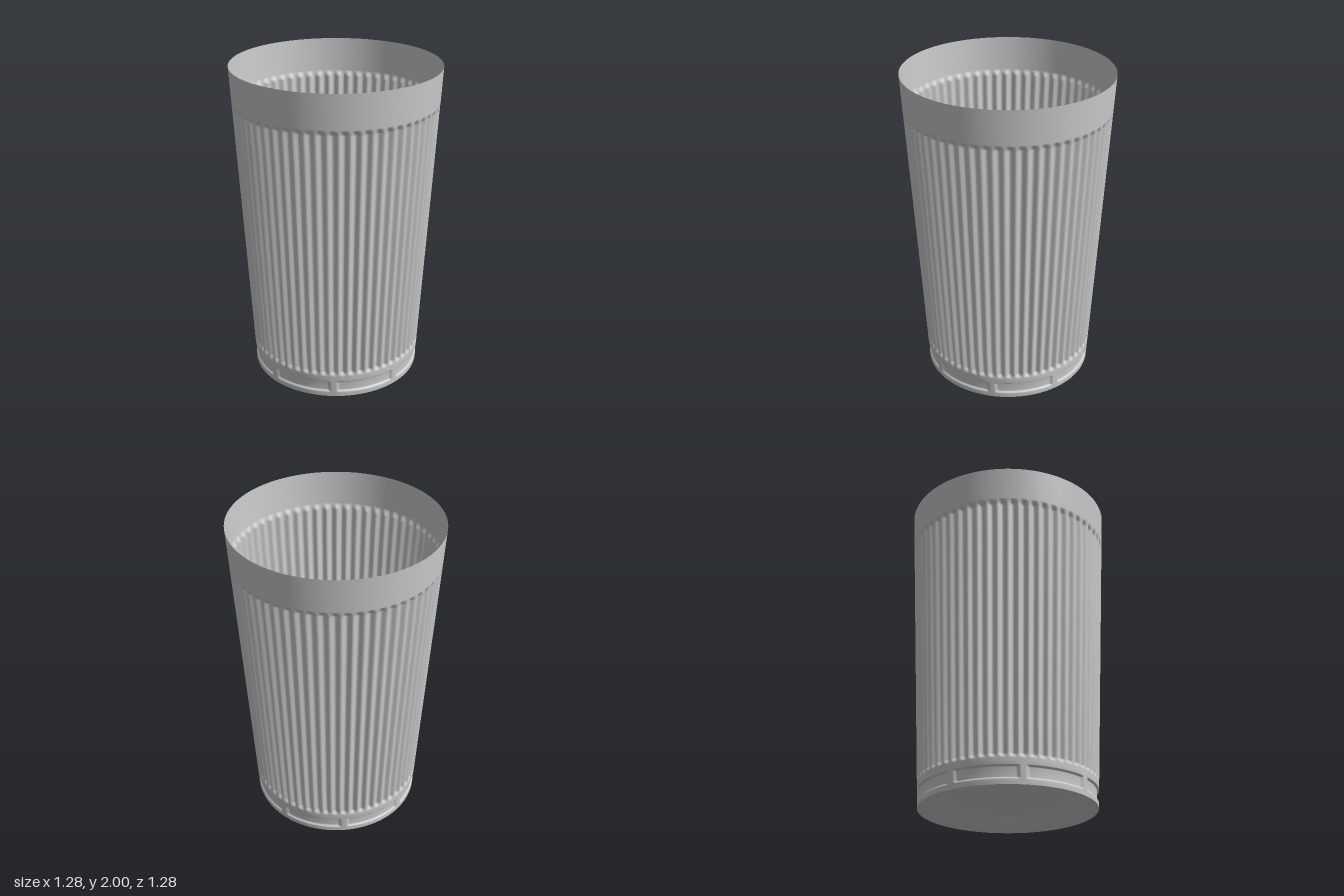
import * as THREE from 'three';
import { mergeVertices } from 'three/addons/utils/BufferGeometryUtils.js';

const FLUTES = 60, PANELS = 8, SEGMENTS = FLUTES * 8;
const FLUTE_DEPTH = 0.02, PANEL_DEPTH = 0.012;
const step = THREE.MathUtils.smoothstep;

// Straight taper of the cup's outer line
const taper = y => 0.537 + 0.0515 * y;

// Inward offset of the wall: long flutes above, shallow panels round the foot
function recess(angle, y) {
  const wave = 0.5 - 0.5 * Math.cos(angle * FLUTES);
  const flute = FLUTE_DEPTH * wave * step(y, 0.15, 0.18) * (1 - step(y, 1.75, 1.79));
  // distance along the wall from the nearest post between panels
  const pitch = Math.PI * 2 / PANELS;
  const fromPost = Math.abs(angle - Math.round(angle / pitch) * pitch) * 0.54;
  const panel = PANEL_DEPTH * step(fromPost, 0.018, 0.034)
    * step(y, 0.03, 0.045) * (1 - step(y, 0.1, 0.113));
  return flute + panel;
}

// Evenly spaced heights from a to b, without b
const heights = (a, b, n) => Array.from({ length: n }, (_, i) => a + (b - a) * i / n);

function makeWall() {
  const ys = [
    0, 0.015, ...heights(0.03, 0.045, 4), ...heights(0.045, 0.1, 2),
    ...heights(0.1, 0.113, 4), ...heights(0.113, 0.15, 2), ...heights(0.15, 0.18, 6),
    ...heights(0.18, 1.75, 10), ...heights(1.75, 1.79, 8), 1.79, 1.86, 2,
  ];
  const geo = new THREE.LatheGeometry(ys.map(y => new THREE.Vector2(taper(y), y)), SEGMENTS);
  const pos = geo.attributes.position;
  for (let i = 0; i < pos.count; i++) {
    const x = pos.getX(i), y = pos.getY(i), z = pos.getZ(i);
    const angle = Math.atan2(x, z);
    const r = taper(y) - recess(angle, y);
    pos.setXYZ(i, r * Math.sin(angle), y, r * Math.cos(angle));
  }
  // weld the seam so the shading runs smoothly all round
  geo.deleteAttribute('uv');
  geo.deleteAttribute('normal');
  const welded = mergeVertices(geo, 1e-5);
  welded.computeVertexNormals();
  return welded;
}

// Closed bottom: flat outer ring, sloping up to a raised centre
function makeFloor() {
  const profile = [
    [0, 0.07], [0.31, 0.07], [0.335, 0.068], [0.36, 0.06], [0.39, 0.043],
    [0.42, 0.025], [0.44, 0.013], [0.455, 0.007], [0.48, 0.004], [0.537, 0],
  ].map(([r, y]) => new THREE.Vector2(r, y));
  return new THREE.LatheGeometry(profile, 120);
}

export function createModel() {
  const material = new THREE.MeshStandardMaterial({ color: 0xcccccc, side: THREE.DoubleSide });
  const cup = new THREE.Group();
  cup.name = 'flutedCup';
  for (const [name, geometry] of [['flutedWall', makeWall()], ['floor', makeFloor()]]) {
    const mesh = new THREE.Mesh(geometry, material);
    mesh.name = name;
    cup.add(mesh);
  }
  return cup;
}
